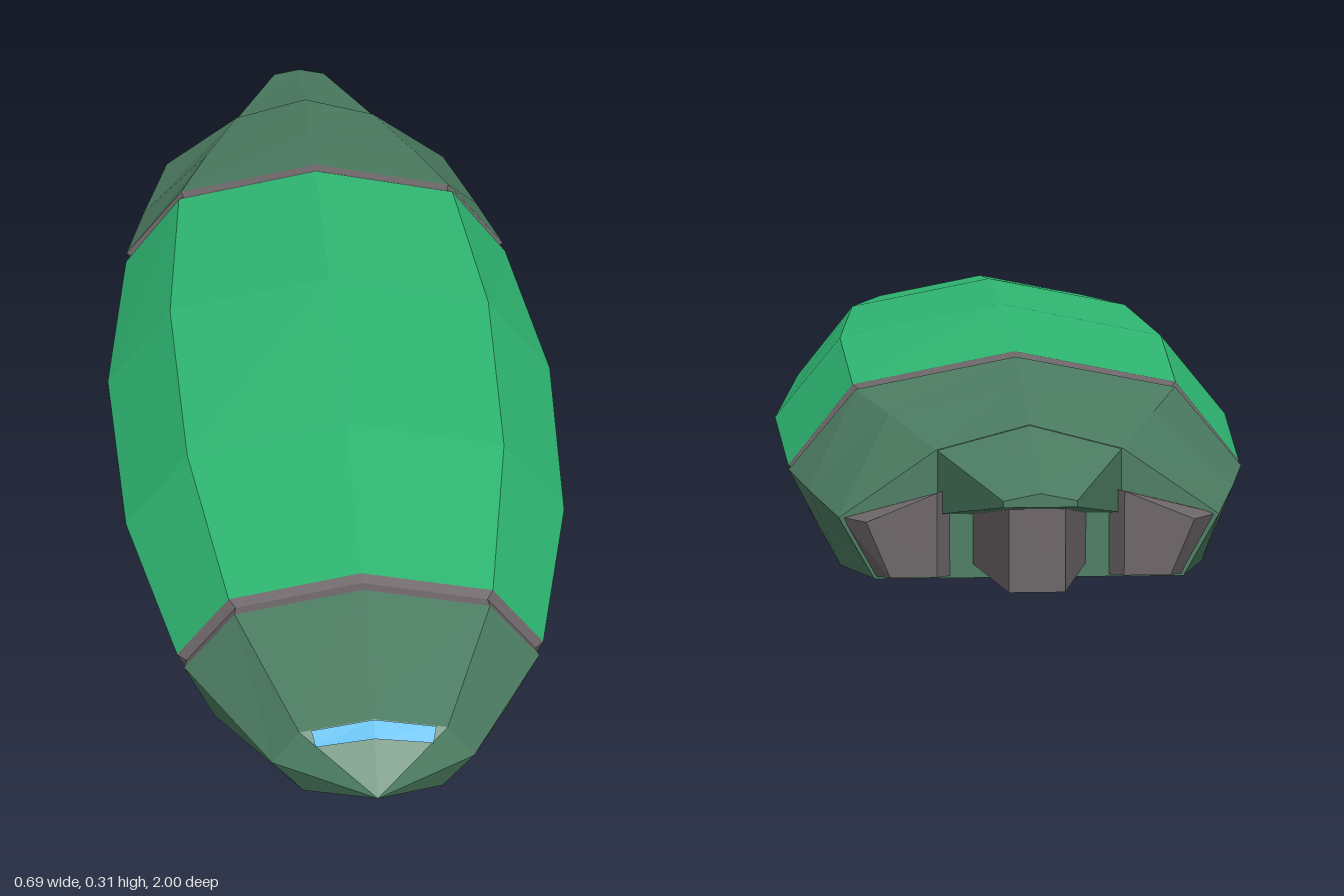
import * as THREE from 'three';

const mat = (name, color, side = THREE.FrontSide) => {
  const m = new THREE.MeshStandardMaterial({ color, flatShading: true, side });
  m.name = name;
  return m;
};

// Join matching rings (front to back, anticlockwise seen from the front) and cap both ends
function loft(rings) {
  const pos = [];
  const tri = (a, b, c) => {
    const n = new THREE.Vector3().crossVectors(b.clone().sub(a), c.clone().sub(a));
    if (n.length() > 1e-9) for (const p of [a, b, c]) pos.push(p.x, p.y, p.z);
  };
  const n = rings[0].length;
  for (let i = 0; i < rings.length - 1; i++) {
    for (let j = 0; j < n; j++) {
      const k = (j + 1) % n, [r, s] = [rings[i], rings[i + 1]];
      tri(r[j], s[j], r[k]);
      tri(r[k], s[j], s[k]);
    }
  }
  const last = rings[rings.length - 1];
  for (let j = 1; j < n - 1; j++) {
    tri(rings[0][0], rings[0][j], rings[0][j + 1]);
    tri(last[0], last[j + 1], last[j]);
  }
  const g = new THREE.BufferGeometry();
  g.setAttribute('position', new THREE.Float32BufferAttribute(pos, 3));
  g.computeVertexNormals();
  return g;
}

// Seven-sided hull ring: roof ridge, shoulder, side and bottom edge, mirrored in x
const hull = (z, top, xs, ys, xw, yw, xb, yb) => [
  [0, top], [-xs, ys], [-xw, yw], [-xb, yb], [xb, yb], [xw, yw], [xs, ys],
].map(([x, y]) => new THREE.Vector3(x, y, z));

// The same ring moved along z and shrunk about the hull axis
const shrink = (ring, z, s) => ring.map(p => new THREE.Vector3(p.x * s, 0.143 + (p.y - 0.143) * s, z));

// Rectangular ring
const rect = (z, x0, x1, y0, y1) => [[x0, y0], [x1, y0], [x1, y1], [x0, y1]]
  .map(([x, y]) => new THREE.Vector3(x, y, z));

export function createModel() {
  const group = new THREE.Group();
  const green = mat('bright green', 0x2fb873);
  const dark = mat('dull green', 0x4c7c62);
  const grey = mat('warm grey', 0x6b6467);
  const blue = mat('light blue', 0x12a8dc, THREE.DoubleSide);
  const add = (name, geometry, material) => {
    const m = new THREE.Mesh(geometry, material);
    m.name = name;
    group.add(m);
  };

  // Main body
  const bodyFront = hull(0.68, 0.266, 0.177, 0.231, 0.248, 0.143, 0.207, 0.057);
  const bodyRear = hull(-0.425, 0.302, 0.226, 0.257, 0.317, 0.143, 0.27, 0.042);
  add('body', loft([
    bodyFront,
    hull(0.36, 0.302, 0.226, 0.257, 0.317, 0.143, 0.272, 0.04),
    hull(-0.04, 0.315, 0.245, 0.265, 0.345, 0.143, 0.293, 0.038),
    bodyRear,
  ]), green);

  // Nose
  const noseBack = hull(0.71, 0.26, 0.17, 0.227, 0.239, 0.143, 0.2, 0.061);
  add('nose', loft([
    hull(1, 0.143, 0, 0.143, 0, 0.143, 0, 0.143),
    hull(0.92, 0.207, 0.095, 0.19, 0.13, 0.143, 0.09, 0.096),
    noseBack,
  ]), dark);

  // Stern
  const sternFront = hull(-0.455, 0.299, 0.222, 0.255, 0.316, 0.143, 0.265, 0.044);
  add('stern', loft([
    sternFront,
    hull(-0.6, 0.284, 0.178, 0.246, 0.286, 0.143, 0.245, 0.04),
    hull(-0.78, 0.262, 0.12, 0.23, 0.245, 0.143, 0.2, 0.062),
  ]), dark);

  // Grooved seams between the sections
  add('frontSeam', loft([noseBack, shrink(bodyFront, 0.694, 0.95), bodyFront]), grey);
  add('rearSeam', loft([bodyRear, shrink(bodyRear, -0.44, 0.965), sternFront]), grey);

  // Tapered tail
  const tail = (z, top, x, y1, y0) => [[0, top], [-x, y1], [-x, y0], [x, y0], [x, y1]]
    .map(([a, b]) => new THREE.Vector3(a, b, z));
  add('tail', loft([
    tail(-0.775, 0.262, 0.12, 0.23, 0.145),
    tail(-1, 0.217, 0.045, 0.208, 0.2),
  ]), dark);

  // Wedge under the tail
  add('tailWedge', loft([
    rect(-0.77, -0.075, 0.075, 0.08, 0.16),
    rect(-0.94, -0.035, 0.035, 0.08, 0.19),
  ]), grey);

  // Engine outlets
  for (const [name, s] of [['leftOutlet', 1], ['rightOutlet', -1]]) {
    const ring = (z, xi, xo, xb, y0) => {
      const pts = [[xi, y0], [xb, y0], [xo, 0.143], [xi, 0.18]]
        .map(([x, y]) => new THREE.Vector3(s * x, y, z));
      return s > 0 ? pts : pts.reverse();
    };
    add(name, loft([ring(-0.775, 0.1, 0.243, 0.2, 0.064), ring(-0.81, 0.12, 0.21, 0.18, 0.07)]), grey);
  }

  // Keel
  add('keel', loft([
    rect(0.68, -0.14, 0.14, 0.055, 0.09),
    rect(0.52, -0.14, 0.14, 0, 0.09),
    rect(0.36, -0.195, 0.195, 0, 0.09),
    rect(-0.28, -0.195, 0.195, 0, 0.09),
    rect(-0.35, -0.14, 0.14, 0, 0.09),
    rect(-0.39, -0.13, 0.13, 0.04, 0.09),
  ]), dark);

  // Bent visor lying on the upper nose faces
  const visor = new THREE.BufferGeometry();
  visor.setAttribute('position', new THREE.Float32BufferAttribute([
    -0.08, 0.195, 0.924, -0.075, 0.181, 0.94,
    0, 0.209, 0.924, 0, 0.193, 0.943,
    0.08, 0.195, 0.924, 0.075, 0.181, 0.94,
  ], 3));
  visor.setIndex([0, 1, 2, 2, 1, 3, 2, 3, 4, 4, 3, 5]);
  visor.computeVertexNormals();
  add('visor', visor, blue);

  return group;
}
